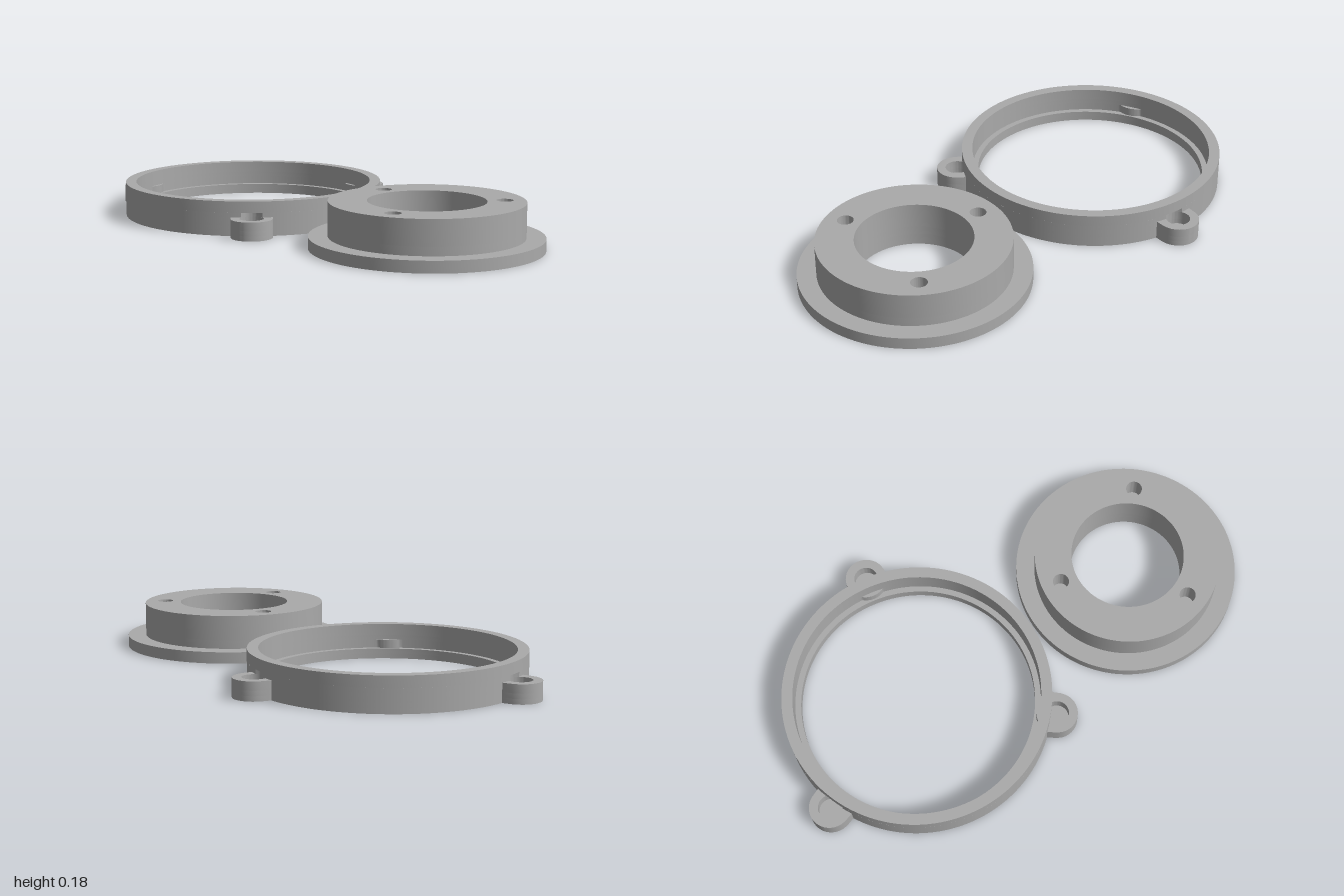
import * as THREE from 'three';
import { toCreasedNormals } from 'three/addons/utils/BufferGeometryUtils.js';

const TAU = Math.PI * 2;
const grey = new THREE.MeshStandardMaterial({ color: 0xaaaaaa });
grey.name = 'plain grey';

// Closed outline whose radius is a function of angle
function polar(radiusAt, n = 480) {
  return Array.from({ length: n }, (_, i) => {
    const a = (i / n) * TAU, r = radiusAt(a);
    return new THREE.Vector2(r * Math.cos(a), r * Math.sin(a));
  });
}

const circle = (r, x = 0, y = 0, n = 120) =>
  polar(() => r, n).map((p) => p.add(new THREE.Vector2(x, y)));

// Flat slab between two heights, with holes
function slab(name, outline, holes, y0, y1) {
  const shape = new THREE.Shape(outline);
  shape.holes = holes.map((h) => new THREE.Path(h));
  const geo = new THREE.ExtrudeGeometry(shape, { depth: y1 - y0, bevelEnabled: false });
  geo.rotateX(-Math.PI / 2).translate(0, y0, 0);
  const mesh = new THREE.Mesh(toCreasedNormals(geo, 0.5), grey);
  mesh.name = name;
  return mesh;
}

// Three points evenly spaced on a circle
const threeHoles = (dist, r, start) => [0, 1, 2].map((i) => {
  const a = start + (i * TAU) / 3;
  return circle(r, dist * Math.cos(a), dist * Math.sin(a), 48);
});

// Retaining ring with three screw lugs
function makeRing() {
  const OUT = 0.53, IN = 0.487, LEDGE = 0.464;
  const DIST = 0.553, LUG = 0.082, HOLE = 0.047;

  // Near (-1) or far (+1) crossing of a ray with the closest lug circle
  const cross = (a, r, side) => {
    const third = TAU / 3;
    const phi = a - Math.round(a / third) * third;
    const q = r * r - (DIST * Math.sin(phi)) ** 2;
    return q < 0 ? null : DIST * Math.cos(phi) + side * Math.sqrt(q);
  };
  const withLugs = polar((a) => Math.max(OUT, cross(a, LUG, 1) ?? 0));
  const withNotches = polar((a) => Math.min(OUT, cross(a, HOLE, -1) ?? 9));
  const boreWithLugs = polar((a) => Math.min(IN, cross(a, LUG, -1) ?? 9));
  const screwHoles = threeHoles(DIST, HOLE, 0);

  const ring = new THREE.Group();
  ring.name = 'retainingRing';
  ring.add(
    slab('ringBase', withLugs, [circle(LEDGE)], 0, 0.02),
    slab('ringLedge', withLugs, [circle(LEDGE), ...screwHoles], 0.02, 0.04),
    slab('ringLugs', withLugs, [boreWithLugs, ...screwHoles], 0.04, 0.074),
    slab('ringNotchedWall', withNotches, [circle(IN)], 0.074, 0.092),
    slab('ringRim', circle(OUT), [circle(IN)], 0.092, 0.137),
  );
  ring.position.set(-0.055, 0, -0.44);
  return ring;
}

// Flanged hub with a bore and three blind holes
function makeHub() {
  const bore = circle(0.225), boss = circle(0.372);
  const hub = new THREE.Group();
  hub.name = 'flangedHub';
  hub.add(
    slab('hubFlange', circle(0.446), [bore], 0, 0.046),
    slab('hubBossLower', boss, [bore], 0.046, 0.08),
    slab('hubBossUpper', boss, [bore, ...threeHoles(0.292, 0.032, Math.PI / 2)], 0.08, 0.18),
  );
  hub.position.set(0.133, 0, 0.552);
  return hub;
}

export function createModel() {
  const model = new THREE.Group();
  model.name = 'ringAndHub';
  model.add(makeRing(), makeHub());
  return model;
}
